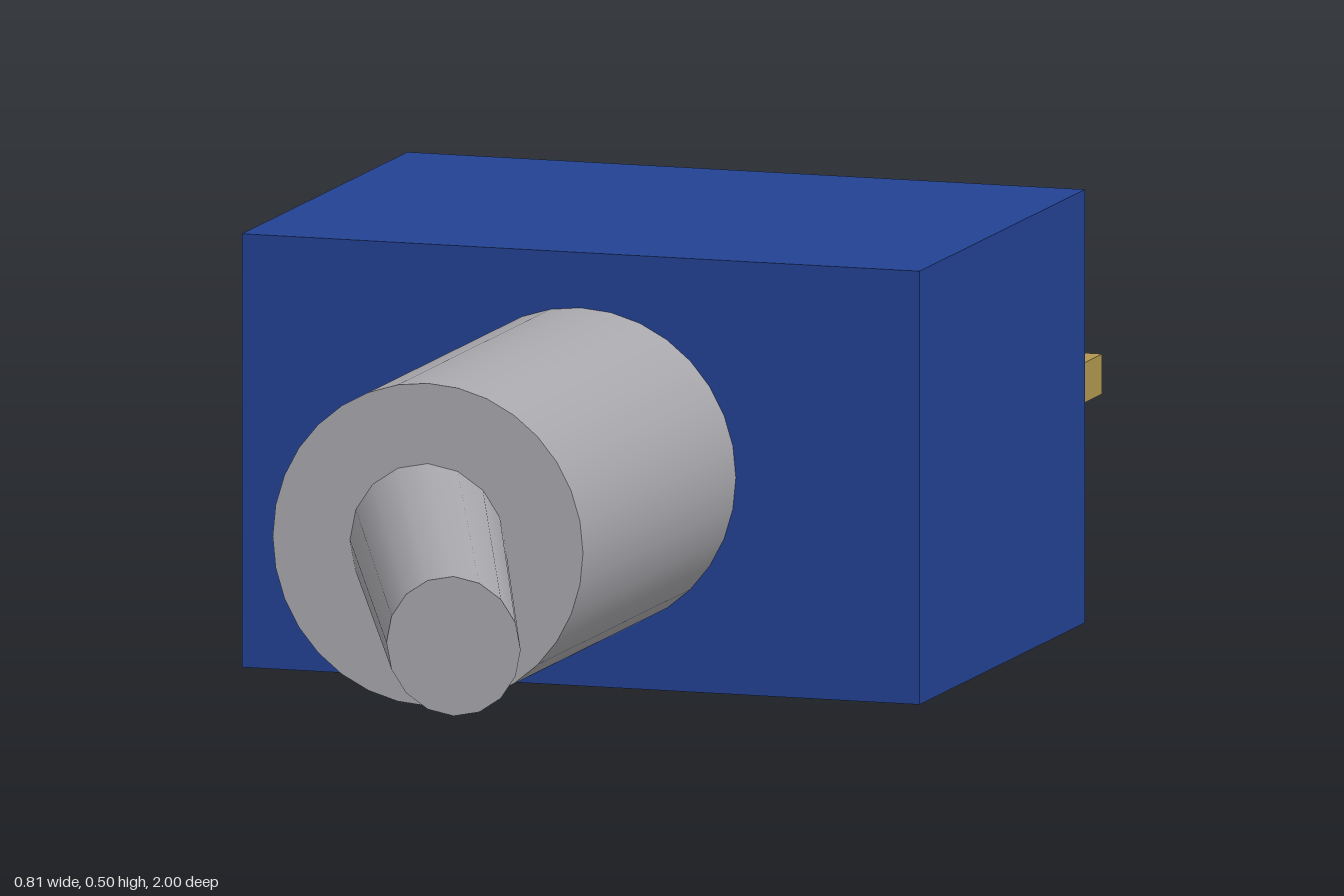
import * as THREE from 'three';

export function createModel() {
  const model = new THREE.Group();
  model.name = 'toggleSwitch';

  const material = (name, color) => {
    const m = new THREE.MeshStandardMaterial({ color });
    m.name = name;
    return m;
  };
  const blue = material('blue plastic', 0x234292);
  const steel = material('grey metal', 0xa9a8ad);
  const brass = material('brass', 0xb0964e);

  const midY = 0.249;
  const add = (name, geometry, mat, x, y, z) => {
    const mesh = new THREE.Mesh(geometry, mat);
    mesh.name = name;
    mesh.position.set(x, y, z);
    model.add(mesh);
  };

  // Cylinder lying along z, with its own radius at each end
  const rod = (front, back, length, sides) =>
    new THREE.CylinderGeometry(front, back, length, sides).rotateX(Math.PI / 2);

  // Switch housing
  add('housing', new THREE.BoxGeometry(0.808, 0.497, 0.59), blue, 0, midY, -0.49);

  // Round bushing on the front
  add('bushing', rod(0.185, 0.185, 0.545, 32), steel, 0, midY, 0.0775);

  // Tapered lever, sheared sideways so both ends stay square to z
  const leverLength = 0.65;
  const lean = 0.248;
  const lever = rod(0.08, 0.093, leverLength, 16);
  lever.applyMatrix4(new THREE.Matrix4().set(
    1, 0, lean / leverLength, lean / 2,
    0, 1, 0, 0,
    0, 0, 1, 0,
    0, 0, 0, 1
  ));
  add('lever', lever, steel, 0, midY, 0.35 + leverLength / 2);

  // Three flat terminals at the back
  ['rightTerminal', 'middleTerminal', 'leftTerminal'].forEach((name, i) => {
    add(name, new THREE.BoxGeometry(0.125, 0.046, 0.215), brass, (i - 1) * 0.29, midY, -0.8925);
  });

  return model;
}
